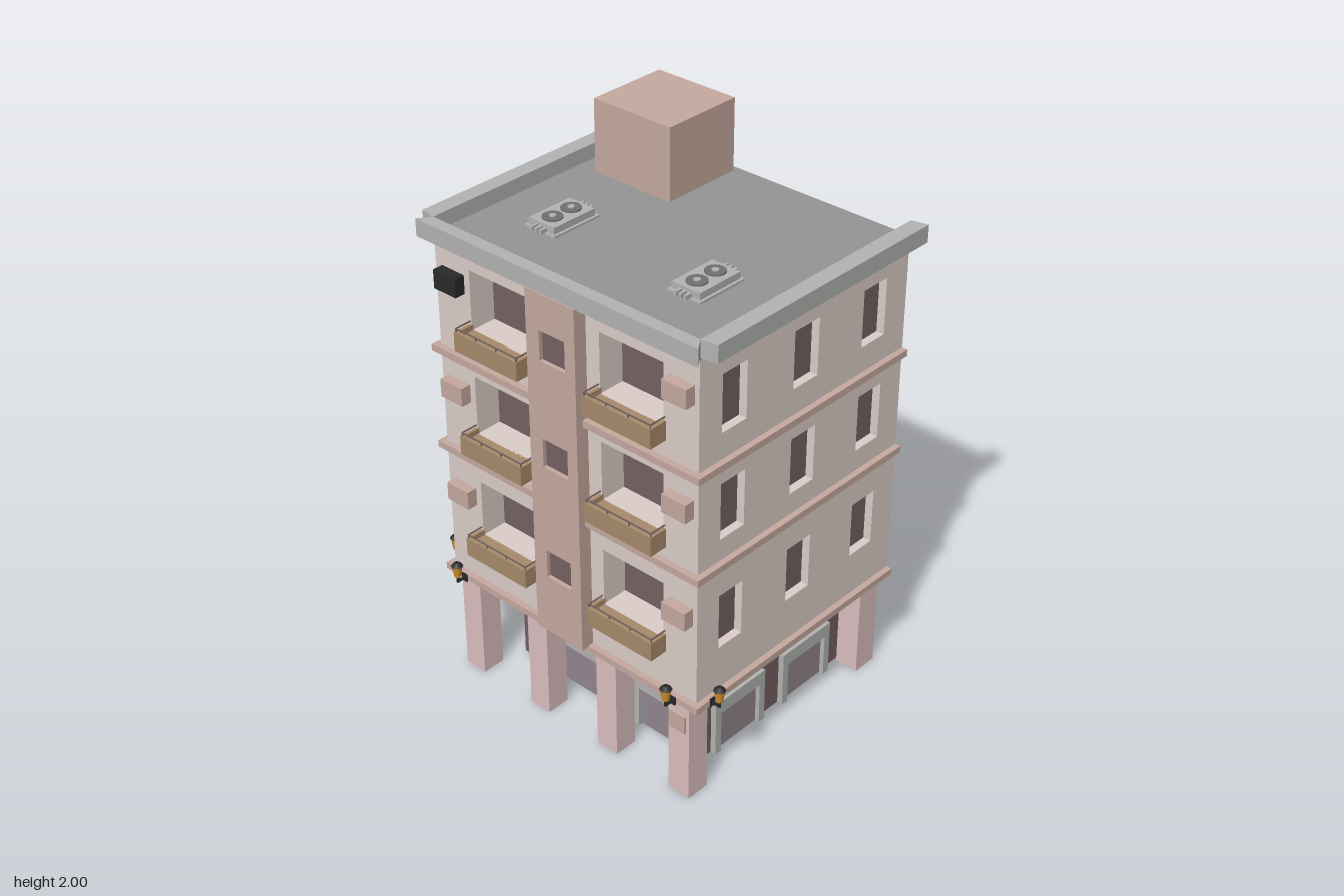
import * as THREE from 'three';

const mat = (color) => new THREE.MeshStandardMaterial({ color, roughness: 0.9 });
const M = {
  wall: mat(0xddcec9), trim: mat(0xc6aaa0), shop: mat(0x755f60), pillar: mat(0xdec0c0),
  grey: mat(0xb2b4b2), pane: mat(0x756262), glass: mat(0x93868f), door: mat(0xa6a9bd),
  tan: mat(0xa88b6b), roof: mat(0x959595), dark: mat(0x707070), black: mat(0x2a2a2a), amber: mat(0xd9932e),
};

function add(parent, name, geo, m, x = 0, y = 0, z = 0) {
  const mesh = new THREE.Mesh(geo, m);
  mesh.name = name;
  mesh.position.set(x, y, z);
  parent.add(mesh);
  return mesh;
}

// box given by its extents on each axis
function box(parent, name, m, x0, x1, y0, y1, z0, z1) {
  return add(parent, name, new THREE.BoxGeometry(x1 - x0, y1 - y0, z1 - z0), m,
    (x0 + x1) / 2, (y0 + y1) / 2, (z0 + z1) / 2);
}

const poly = (pts) => new THREE.Shape(pts.map(([x, y]) => new THREE.Vector2(x, y)));
const rect = (x0, x1, y0, y1) => poly([[x0, y0], [x1, y0], [x1, y1], [x0, y1]]);
const extrude = (shape, depth) => new THREE.ExtrudeGeometry(shape, { depth, bevelEnabled: false });

// flat wall with rectangular openings [x0, x1, y0, y1]
function pierced(outer, openings, depth) {
  const s = rect(...outer);
  openings.forEach((o) => s.holes.push(rect(...o)));
  return extrude(s, depth);
}

// framed shop window standing on the ground, facing +z
function shopWindow() {
  const g = new THREE.Group();
  g.name = 'shopWindow';
  const frame = poly([[-0.128, 0], [-0.1, 0], [-0.1, 0.165], [0.1, 0.165], [0.1, 0],
    [0.128, 0], [0.128, 0.217], [-0.128, 0.217]]);
  add(g, 'shopFrame', extrude(frame, 0.025), M.grey);
  box(g, 'shopGlass', M.glass, -0.1, 0.1, 0, 0.165, 0, 0.008);
  return g;
}

// lantern on a bent arm, reaching out along +z from the wall
function lantern() {
  const g = new THREE.Group();
  g.name = 'lantern';
  box(g, 'lanternBracket', M.black, -0.012, 0.012, 0.405, 0.435, 0, 0.006);
  box(g, 'lanternArm', M.black, -0.004, 0.004, 0.416, 0.424, 0, 0.039);
  box(g, 'lanternStem', M.black, -0.004, 0.004, 0.416, 0.445, 0.031, 0.039);
  add(g, 'lanternGlass', new THREE.CylinderGeometry(0.019, 0.012, 0.045, 8), M.amber, 0, 0.464, 0.035);
  add(g, 'lanternCap', new THREE.CylinderGeometry(0.009, 0.022, 0.014, 8), M.black, 0, 0.493, 0.035);
  return g;
}

// planter balcony with a thin three-bay rail
function balcony(x, y) {
  const g = new THREE.Group();
  g.name = 'balcony';
  box(g, 'balconyBase', M.tan, -0.142, 0.142, 0, 0.05, 0.46, 0.535);
  box(g, 'balconyFront', M.tan, -0.142, 0.142, 0.05, 0.07, 0.523, 0.535);
  for (const s of [-1, 1]) {
    box(g, 'balconySide', M.tan, s * 0.136 - 0.006, s * 0.136 + 0.006, 0.05, 0.07, 0.46, 0.523);
    box(g, 'sideRail', M.pane, s * 0.137 - 0.002, s * 0.137 + 0.002, 0.08, 0.084, 0.465, 0.531);
  }
  box(g, 'frontRail', M.pane, -0.139, 0.139, 0.08, 0.084, 0.527, 0.531);
  for (let i = 0; i < 4; i++) {
    const px = -0.137 + i * 0.0913;
    box(g, 'railPost', M.pane, px - 0.002, px + 0.002, 0.06, 0.081, 0.527, 0.531);
  }
  g.position.set(x, y, 0);
  return g;
}

// rooftop cooling unit with two fans and pipe stubs
function roofUnit(x, z) {
  const g = new THREE.Group();
  g.name = 'roofUnit';
  box(g, 'unitBase', M.grey, -0.067, 0.067, 0, 0.008, -0.103, 0.103);
  box(g, 'unitBody', M.grey, -0.057, 0.057, 0.008, 0.032, -0.093, 0.093);
  for (const s of [-1, 1]) {
    add(g, 'fan', new THREE.CylinderGeometry(0.035, 0.035, 0.006, 24), M.dark, 0, 0.034, s * 0.042);
    add(g, 'fanHub', new THREE.CylinderGeometry(0.012, 0.012, 0.004, 16), M.grey, 0, 0.038, s * 0.042);
    for (const px of [-0.02, 0, 0.02])
      box(g, 'pipe', M.grey, px - 0.005, px + 0.005, 0.006, 0.022, s * 0.106 - 0.014, s * 0.106 + 0.014);
  }
  g.position.set(x, 1.735, z);
  return g;
}

export function createModel() {
  const model = new THREE.Group();
  model.name = 'apartmentBuilding';

  // Per-storey heights: balcony base, side window bottom, centre window bottom, wall box bottom
  const storeys = [
    { deck: 0.577, top: 0.845, side: [0.6, 0.808], mid: [0.658, 0.766], unit: 0.74 },
    { deck: 0.99, top: 1.26, side: [1.027, 1.235], mid: [1.095, 1.203], unit: 1.152 },
    { deck: 1.386, top: 1.655, side: [1.42, 1.627], mid: [1.49, 1.6], unit: 1.56 },
  ];

  // Upper floors: dark core showing through the openings of the outer walls
  box(model, 'core', M.pane, -0.535, 0.535, 0.41, 1.722, -0.505, 0.365);
  const frontHoles = storeys.flatMap((s) => [
    [-0.41, -0.147, s.deck + 0.05, s.top], [0.16, 0.423, s.deck + 0.05, s.top]]);
  add(model, 'frontWall', pierced([-0.565, 0.565, 0.41, 1.73], frontHoles, 0.1), M.wall, 0, 0, 0.365);
  const sideZ = [[0.25, 0.362], [-0.09, 0.028], [-0.428, -0.312]];
  for (const s of [-1, 1]) {
    const holes = storeys.flatMap((f) => sideZ.map(([a, b]) =>
      (s > 0 ? [-b, -a, ...f.side] : [a, b, ...f.side])));
    const span = s > 0 ? [-0.365, 0.535] : [-0.535, 0.365];
    const wall = add(model, 'sideWall', pierced([...span, 0.41, 1.73], holes, 0.03), M.wall, s * 0.535);
    wall.rotation.y = s * Math.PI / 2;
  }
  box(model, 'backWall', M.wall, -0.535, 0.535, 0.41, 1.73, -0.535, -0.505);
  box(model, 'lowerBackWall', M.wall, -0.43, 0.44, 0, 0.41, -0.535, -0.525);

  // Floor bands
  for (const [y0, y1] of [[0.41, 0.435], [0.922, 0.947], [1.3, 1.325]]) {
    box(model, 'frontBand', M.trim, -0.587, 0.587, y0, y1, 0.464, 0.488);
    for (const s of [-1, 1])
      box(model, 'sideBand', M.trim, s * 0.575 - 0.012, s * 0.575 + 0.012, y0, y1, -0.535, 0.465);
  }

  // Central stair strip with small windows
  box(model, 'centreStrip', M.trim, -0.106, 0.104, 0.43, 1.74, 0.44, 0.498);
  add(model, 'centreStripFace', pierced([-0.106, 0.104, 0.43, 1.73],
    storeys.map((s) => [-0.05, 0.06, ...s.mid]), 0.017), M.trim, 0, 0, 0.498);

  storeys.forEach((s, i) => {
    box(model, 'centreWindow', M.pane, -0.05, 0.06, ...s.mid, 0.497, 0.5);
    model.add(balcony(-0.278, s.deck), balcony(0.291, s.deck));
    box(model, 'wallUnitLeft', M.trim, 0.449, 0.547, s.unit, s.unit + 0.068, 0.46, 0.505);
    box(model, i === 2 ? 'darkWallUnit' : 'wallUnitRight', i === 2 ? M.black : M.trim,
      -0.535, -0.435, s.unit, s.unit + 0.068, 0.46, 0.505);
  });

  // Ground floor shop
  box(model, 'shopBody', M.shop, -0.43, 0.43, 0, 0.41, -0.53, 0.275);
  for (const x of [-0.112, 0.257]) {
    const w = shopWindow();
    w.position.set(x, 0, 0.275);
    model.add(w);
  }
  box(model, 'door', M.door, -0.405, -0.295, 0, 0.22, 0.27, 0.283);
  for (const x of [-0.345, -0.095, 0.25]) {
    box(model, 'wallLightBase', M.black, x - 0.012, x + 0.012, 0.25, 0.29, 0.27, 0.282);
    const lamp = add(model, 'wallLight', new THREE.SphereGeometry(0.025, 16, 10), M.grey, x, 0.27, 0.285);
    lamp.scale.z = 0.4;
  }
  for (const s of [-1, 1]) {
    for (const z of [0.107, -0.248]) {
      const w = shopWindow();
      w.position.set(s * 0.427, 0, z);
      w.rotation.y = s * Math.PI / 2;
      model.add(w);
    }
    for (const z of [0.115, -0.268])
      box(model, 'transomPanel', M.grey, s * 0.43 - 0.006, s * 0.43 + 0.006, 0.26, 0.328, z - 0.1, z + 0.1);
  }

  // Pillars
  for (const x of [-0.495, -0.168, 0.157, 0.485])
    box(model, 'frontPillar', M.pillar, x - 0.045, x + 0.045, 0, 0.41, 0.37, 0.46);
  for (const x of [-0.495, 0.485])
    box(model, 'backPillar', M.pillar, x - 0.045, x + 0.045, 0, 0.41, -0.537, -0.44);
  box(model, 'pillarPlate', M.trim, 0.445, 0.517, 0.277, 0.345, 0.455, 0.467);

  // Lanterns: front pair, sides near the front, one at the right rear
  for (const [x, z, turn] of [[-0.492, 0.488, 0], [0.485, 0.488, 0],
    [-0.582, 0.412, -1], [0.582, 0.412, 1], [-0.582, -0.49, -1]]) {
    const l = lantern();
    l.position.set(x, 0, z);
    l.rotation.y = turn * Math.PI / 2;
    model.add(l);
  }

  // Roof slab, parapets drawn in plan, stair house and cooling units
  box(model, 'roof', M.roof, -0.566, 0.566, 1.72, 1.735, -0.537, 0.466);
  const parapet = (name, pts) => {
    const geo = extrude(poly(pts.map(([x, z]) => [x, -z])), 0.063);
    add(model, name, geo.rotateX(-Math.PI / 2), M.grey, 0, 1.727, 0);
  };
  for (const s of [-1, 1])
    parapet('sideParapet', [[s * 0.565, 0.465], [s * 0.625, 0.455], [s * 0.625, -0.548], [s * 0.565, -0.535]]);
  parapet('frontParapet', [[-0.598, 0.51], [0.598, 0.51], [0.565, 0.464], [-0.565, 0.464]]);
  box(model, 'stairHouse', M.trim, -0.49, -0.153, 1.73, 2, -0.512, -0.195);
  model.add(roofUnit(-0.316, 0.138), roofUnit(0.303, 0.142));

  return model;
}
